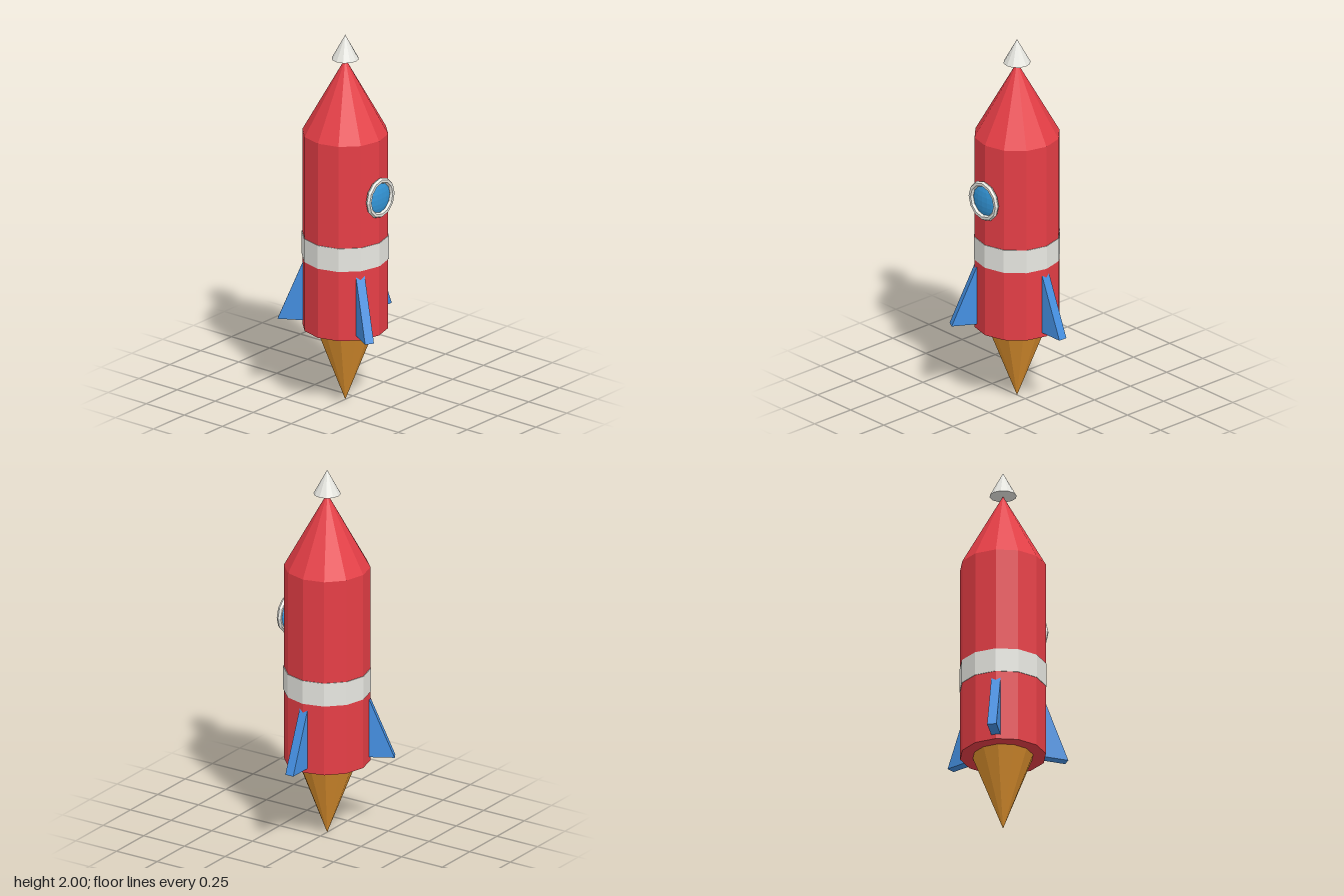
import * as THREE from 'three';

const SIDES = 12;

function makeMaterial(name, color) {
  const m = new THREE.MeshStandardMaterial({ color, flatShading: true });
  m.name = name;
  return m;
}

export function createModel() {
  const red = makeMaterial('hull red', 0xe63e46);
  const white = makeMaterial('trim white', 0xe8e8e2);
  const blue = makeMaterial('fin blue', 0x4590e2);
  const glass = makeMaterial('window blue', 0x3498db);
  const orange = makeMaterial('flame orange', 0xe0932f);

  const rocket = new THREE.Group();
  rocket.name = 'rocket';
  // The three fins are uneven about x, so the axis sits left of centre
  rocket.position.x = -0.062;

  const add = (name, geometry, material, parent = rocket) => {
    const mesh = new THREE.Mesh(geometry, material);
    mesh.name = name;
    parent.add(mesh);
    return mesh;
  };

  // Faceted round section between two heights
  const section = (name, rTop, rBottom, y0, y1, material, open = false) => {
    const g = new THREE.CylinderGeometry(rTop, rBottom, y1 - y0, SIDES, 1, open);
    add(name, g.translate(0, (y0 + y1) / 2, 0), material);
  };
  section('body', 0.222, 0.222, 0.405, 1.47, red);
  section('noseCone', 0, 0.222, 1.47, 1.87, red, true);
  section('noseTip', 0, 0.07, 1.87, 2.0, white);
  section('bodyBand', 0.225, 0.225, 0.785, 0.912, white);
  section('exhaustFlame', 0.156, 0, 0, 0.405, orange);

  // Round window on the front: flattened glass dome in a rim
  const porthole = new THREE.Group();
  porthole.name = 'porthole';
  porthole.position.y = 1.162;
  rocket.add(porthole);
  add('windowRim', new THREE.TorusGeometry(0.0935, 0.0145, 6, SIDES), white, porthole)
    .position.z = 0.23;
  const dome = new THREE.SphereGeometry(0.09, 16, 10).scale(1, 1, 0.28);
  add('windowGlass', dome, glass, porthole).position.z = 0.217;

  // Three triangular fins spaced evenly around the axis
  const outline = new THREE.Shape([
    new THREE.Vector2(0.2, 0.43),
    new THREE.Vector2(0.347, 0.43),
    new THREE.Vector2(0.2, 0.789),
  ]);
  const finGeometry = new THREE.ExtrudeGeometry(outline, { depth: 0.048, bevelEnabled: false });
  finGeometry.translate(0, 0, -0.024);
  for (let i = 0; i < 3; i++) {
    add('fin' + (i + 1), finGeometry, blue).rotation.y = (i * Math.PI * 2) / 3;
  }

  const model = new THREE.Group();
  model.name = 'toyRocket';
  model.add(rocket);
  return model;
}
